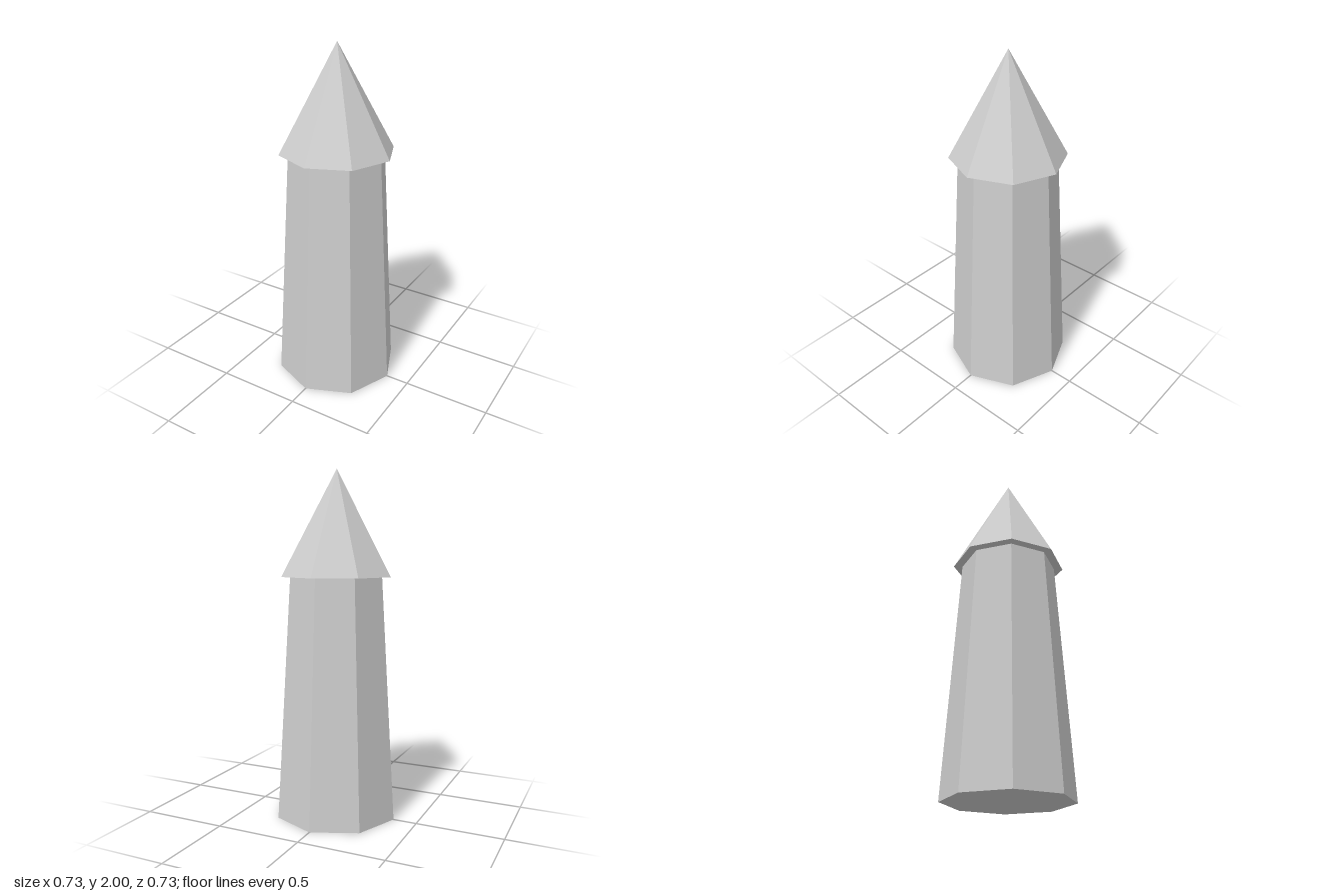
import * as THREE from 'three';

const SIDES = 8;
const BODY_HEIGHT = 1.4;
const ROOF_HEIGHT = 0.6;

export function createModel() {
  const model = new THREE.Group();
  model.name = 'tower';

  const stone = new THREE.MeshStandardMaterial({ color: 0xcccccc, flatShading: true });
  stone.name = 'light grey';

  const addPart = (name, geometry, y) => {
    const mesh = new THREE.Mesh(geometry, stone);
    mesh.name = name;
    mesh.position.y = y;
    model.add(mesh);
  };

  // Tapered octagonal shaft, closed at the base
  addPart('towerBody', new THREE.CylinderGeometry(0.278, 0.363, BODY_HEIGHT, SIDES), BODY_HEIGHT / 2);

  // Pointed roof overhanging the shaft, with a flat underside
  addPart('roof', new THREE.ConeGeometry(0.33, ROOF_HEIGHT, SIDES), BODY_HEIGHT + ROOF_HEIGHT / 2);

  return model;
}
